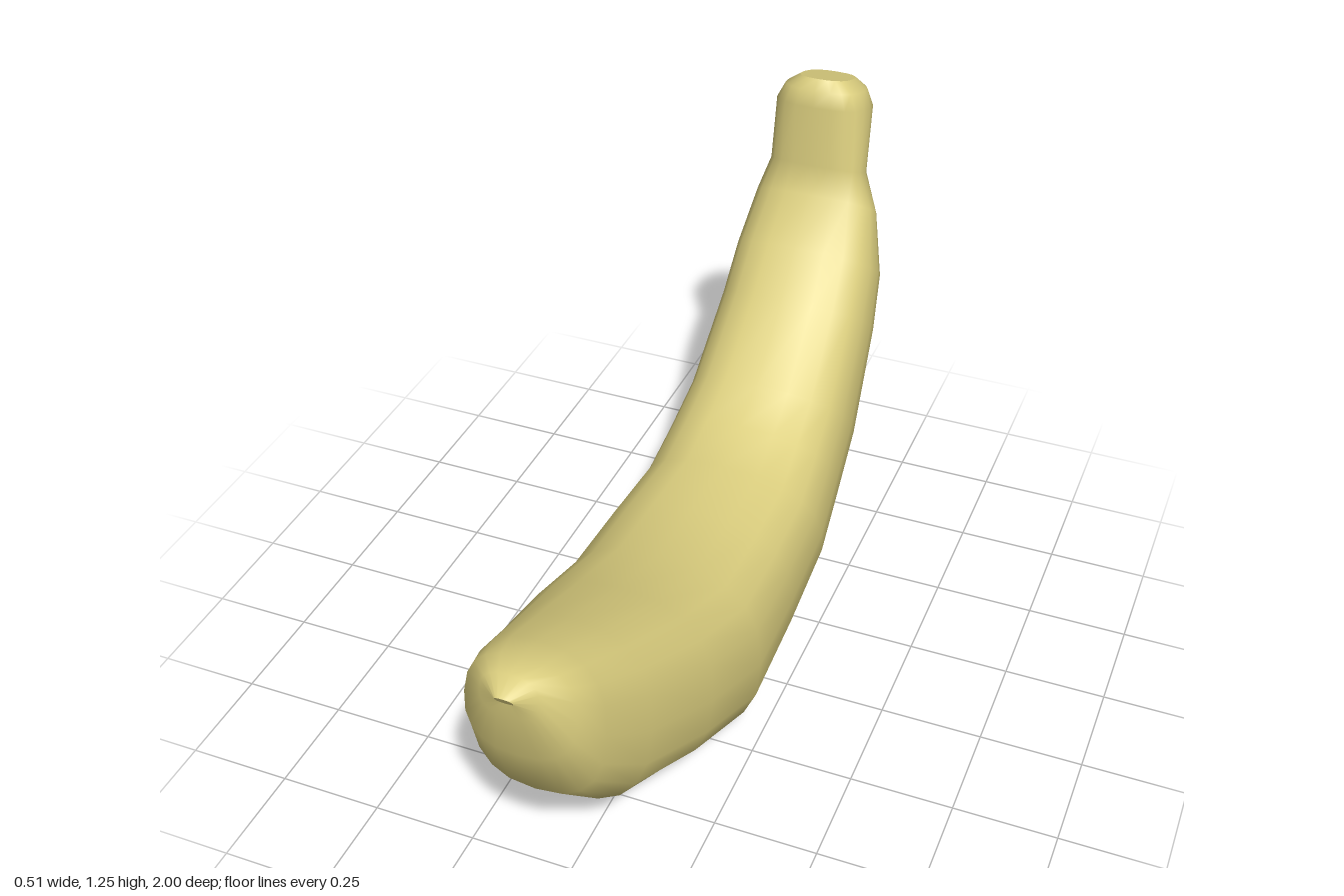
import * as THREE from 'three';

const SIDES = 20;

// Cross-sections from blossom tip to stem: [inner z, inner y, outer z, outer y, half width]
const SECTIONS = [
  [1.0, 0.755, 0.985, 0.73, 0.02],
  [0.96, 0.785, 0.98, 0.69, 0.065],
  [0.90, 0.78, 0.955, 0.56, 0.125],
  [0.83, 0.765, 0.89, 0.40, 0.155],
  [0.68, 0.70, 0.75, 0.25, 0.19],
  [0.45, 0.60, 0.50, 0.13, 0.235],
  [0.22, 0.515, 0.22, 0.0, 0.255],
  [0.02, 0.50, -0.07, 0.03, 0.25],
  [-0.18, 0.49, -0.37, 0.06, 0.238],
  [-0.30, 0.53, -0.55, 0.165, 0.226],
  [-0.42, 0.58, -0.70, 0.26, 0.216],
  [-0.60, 0.73, -0.88, 0.50, 0.2],
  [-0.69, 0.83, -0.935, 0.64, 0.19],
  [-0.78, 0.94, -0.935, 0.83, 0.16],
  [-0.79, 1.02, -0.93, 0.96, 0.125],
  [-0.79, 1.18, -0.99, 1.13, 0.12],
  [-0.80, 1.22, -0.995, 1.17, 0.1],
  [-0.82, 1.245, -0.99, 1.19, 0.065],
];

// One slightly squared oval ring
function ring([zi, yi, zo, yo, w]) {
  const squash = (v) => Math.sign(v) * Math.abs(v) ** 0.8;
  const points = [];
  for (let j = 0; j < SIDES; j++) {
    const a = (j / SIDES) * Math.PI * 2;
    const t = (squash(Math.sin(a)) + 1) / 2;
    points.push([w * squash(Math.cos(a)), yo + (yi - yo) * t, zo + (zi - zo) * t]);
  }
  return points;
}

function geometry(points, index) {
  const g = new THREE.BufferGeometry();
  g.setAttribute('position', new THREE.Float32BufferAttribute(points.flat(), 3));
  g.setIndex(index);
  g.computeVertexNormals();
  return g;
}

// Smooth skin joining the rings
function skinGeometry() {
  const index = [];
  for (let i = 0; i < SECTIONS.length - 1; i++) {
    for (let j = 0; j < SIDES; j++) {
      const k = (j + 1) % SIDES;
      const a = i * SIDES + j, b = i * SIDES + k;
      const c = a + SIDES, d = b + SIDES;
      index.push(a, c, b, b, c, d);
    }
  }
  return geometry(SECTIONS.flatMap(ring), index);
}

// Flat end closing a ring
function capGeometry(section, flip) {
  const [zi, yi, zo, yo] = section;
  const index = [];
  for (let j = 0; j < SIDES; j++) {
    const k = (j + 1) % SIDES;
    index.push(SIDES, flip ? k : j, flip ? j : k);
  }
  return geometry([...ring(section), [0, (yi + yo) / 2, (zi + zo) / 2]], index);
}

export function createModel() {
  const peel = new THREE.MeshStandardMaterial({ color: 0xddd080 });
  peel.name = 'yellow peel';
  const banana = new THREE.Group();
  banana.name = 'banana';
  const add = (name, g) => {
    const mesh = new THREE.Mesh(g, peel);
    mesh.name = name;
    banana.add(mesh);
  };
  add('peel', skinGeometry());
  add('blossomTip', capGeometry(SECTIONS[0], false));
  add('stemEnd', capGeometry(SECTIONS[SECTIONS.length - 1], true));
  return banana;
}
